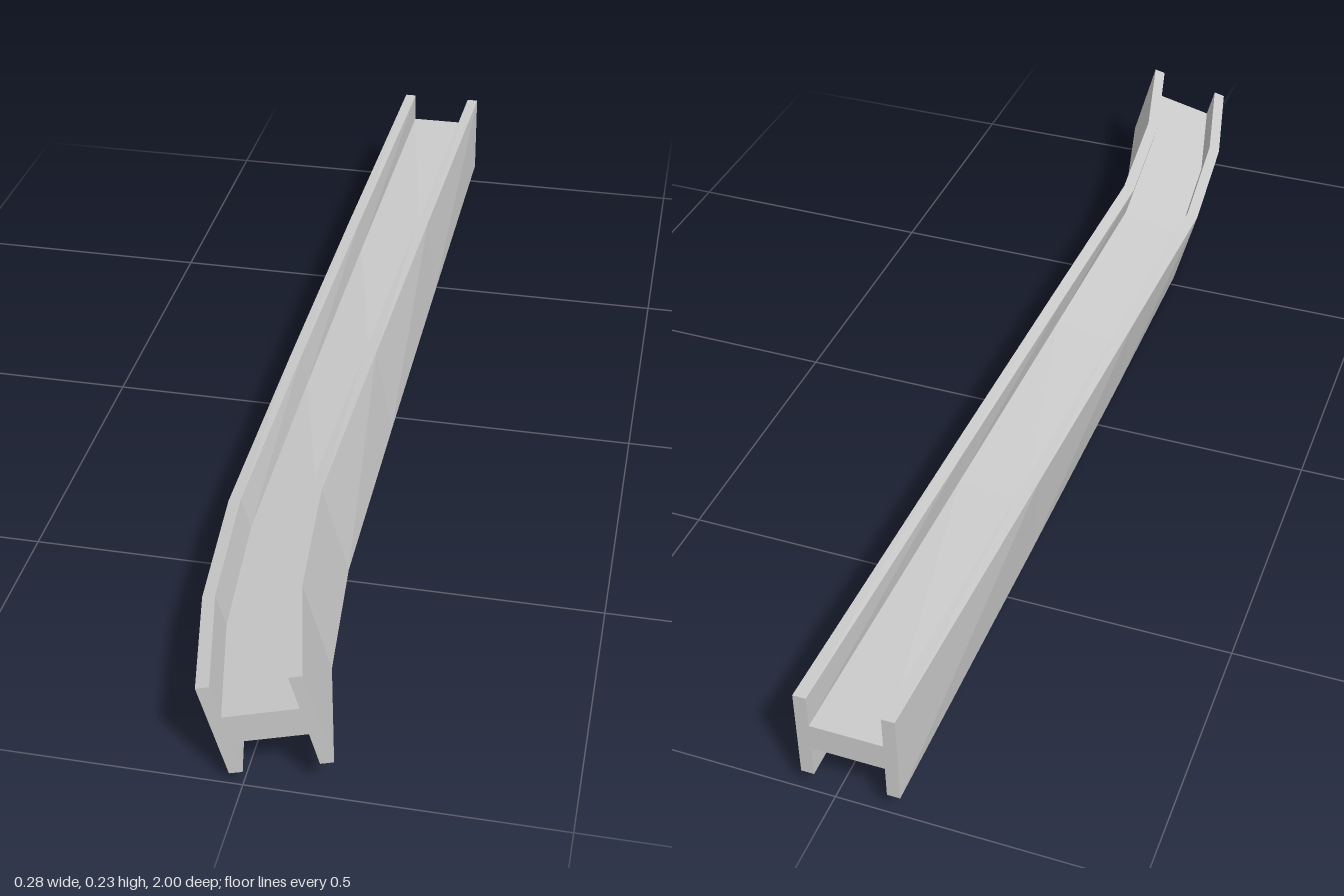
import * as THREE from 'three';

// Cross-sections from back to front: centre x, y, z and twist in degrees
const SECTIONS = [
  { x: -0.028, y: 0.126, z: -1, twist: 0, tilt: 0 },
  { x: -0.033, y: 0.120, z: -0.4, twist: 5.5, tilt: 0 },
  { x: -0.036, y: 0.113, z: 0.1, twist: 10.5, tilt: 0 },
  { x: -0.037, y: 0.105, z: 0.525, twist: 15.3, tilt: 0.02 },
  { x: -0.012, y: 0.112, z: 0.78, twist: 15.3, tilt: 0.04 },
  { x: 0.037, y: 0.125, z: 0.995, twist: 15.3, tilt: 0.06 },
];

// H-shaped profile: two upright flanges joined by a web
function profile() {
  const w = 0.083, h = 0.0845, f = 0.061, t = 0.025;
  const quarter = [[f, t], [f, h], [w, h]];
  const points = [
    ...[...quarter].reverse(),
    ...quarter.map(([x, y]) => [-x, y]),
    ...[...quarter].reverse().map(([x, y]) => [-x, -y]),
    ...quarter.map(([x, y]) => [x, -y]),
  ];
  return new THREE.Shape(points.map(([x, y]) => new THREE.Vector2(x, y)));
}

export function createModel() {
  const steps = SECTIONS.length - 1;
  const geometry = new THREE.ExtrudeGeometry(profile(), { depth: steps, steps, bevelEnabled: false });

  // Place each extrusion step on its own bent and twisted section
  const pos = geometry.attributes.position;
  for (let i = 0; i < pos.count; i++) {
    const s = SECTIONS[Math.round(pos.getZ(i))];
    const a = THREE.MathUtils.degToRad(s.twist);
    const x = pos.getX(i), y = pos.getY(i);
    pos.setXYZ(
      i,
      s.x + x * Math.cos(a) - y * Math.sin(a),
      s.y + x * Math.sin(a) + y * Math.cos(a),
      s.z - x * s.tilt,
    );
  }
  geometry.computeVertexNormals();

  const beam = new THREE.Mesh(
    geometry,
    new THREE.MeshStandardMaterial({ color: 0xcccccc, flatShading: true }),
  );
  beam.name = 'bentBeam';

  const group = new THREE.Group();
  group.name = 'twistedHBeam';
  group.add(beam);
  return group;
}
